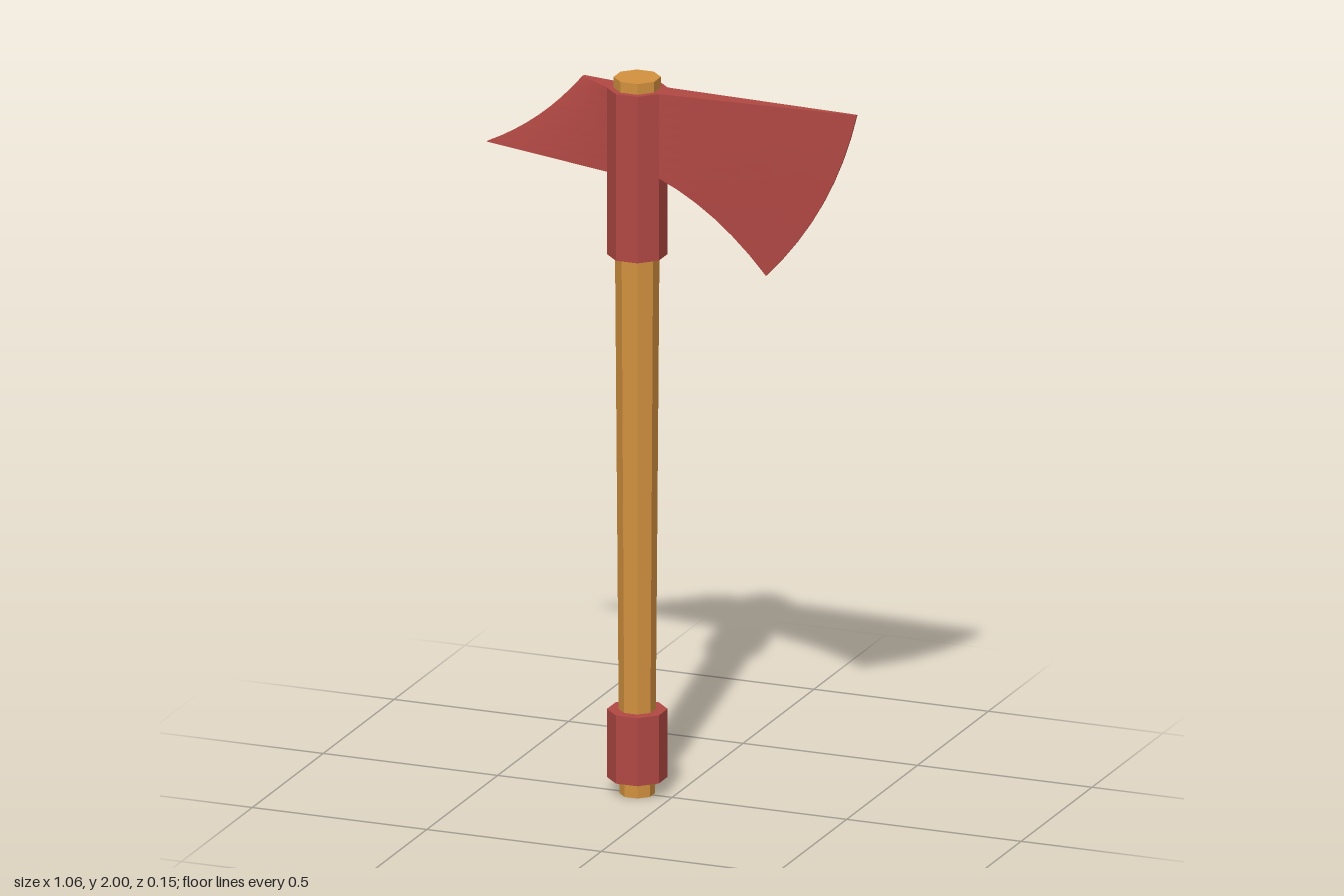
import * as THREE from 'three';

const AXIS_X = -0.1; // handle centre line
const V2 = (x, y) => new THREE.Vector2(x, y);
const curve = (a, c, b) => new THREE.QuadraticBezierCurve(V2(...a), V2(...c), V2(...b));
const line = (a, b) => new THREE.LineCurve(V2(...a), V2(...b));

// Upright octagonal prism, flats facing the axes; sizes are centre-to-flat
function octagon(name, material, bottom, top, y0, y1) {
  const k = 1 / Math.cos(Math.PI / 8);
  const geo = new THREE.CylinderGeometry(top * k, bottom * k, y1 - y0, 8, 1, false, Math.PI / 8);
  const mesh = new THREE.Mesh(geo, material);
  mesh.position.set(AXIS_X, (y0 + y1) / 2, 0);
  mesh.name = name;
  return mesh;
}

// Wedge spanning four border curves, thick at the root and thin at the edge
function wedge(name, material, { lower, upper, root, edge }, rootHalf, edgeHalf, side) {
  const NU = 6, NV = 8;
  const point = (i, j) => {
    const back = j > NV;
    const u = i / NU, v = (back ? 2 * NV + 1 - j : j) / NV;
    const p = V2(0, 0);
    const add = (q, w) => p.addScaledVector(q, w);
    add(lower.getPoint(u), 1 - v); add(upper.getPoint(u), v);
    add(root.getPoint(v), 1 - u); add(edge.getPoint(v), u);
    add(root.getPoint(0), -(1 - u) * (1 - v)); add(root.getPoint(1), -(1 - u) * v);
    add(edge.getPoint(0), -u * (1 - v)); add(edge.getPoint(1), -u * v);
    const half = THREE.MathUtils.lerp(rootHalf, edgeHalf, u) * side;
    return [p.x, p.y, back ? -half : half];
  };
  const pos = [];
  const quad = (a, b, c, d) => pos.push(...a, ...b, ...c, ...a, ...c, ...d);
  const ring = 2 * NV + 2;
  // Front, top, back and underside
  for (let i = 0; i < NU; i++) {
    for (let j = 0; j < ring; j++) {
      const n = (j + 1) % ring;
      quad(point(i, j), point(i + 1, j), point(i + 1, n), point(i, n));
    }
  }
  // Narrow face along the cutting edge
  for (let j = 0; j < NV; j++) {
    quad(point(NU, j), point(NU, ring - 1 - j), point(NU, ring - 2 - j), point(NU, j + 1));
  }
  const geo = new THREE.BufferGeometry();
  geo.setAttribute('position', new THREE.Float32BufferAttribute(pos, 3));
  geo.computeVertexNormals();
  const mesh = new THREE.Mesh(geo, material);
  mesh.name = name;
  return mesh;
}

export function createModel() {
  const wood = new THREE.MeshStandardMaterial({ color: 0xd4923f, flatShading: true });
  wood.name = 'wood';
  const red = new THREE.MeshStandardMaterial({ color: 0xb24844, flatShading: true });
  red.name = 'red metal';

  const axe = new THREE.Group();
  axe.name = 'axe';

  // Tapered handle with two collars
  axe.add(octagon('handle', wood, 0.044, 0.058, 0, 2));
  axe.add(octagon('headCollar', red, 0.0745, 0.0745, 1.505, 1.97));
  axe.add(octagon('buttCollar', red, 0.0745, 0.0745, 0.045, 0.235));

  // Broad blade with a hooked lower corner
  axe.add(wedge('blade', red, {
    root: line([-0.027, 1.735], [-0.027, 1.97]),
    upper: line([-0.027, 1.97], [0.53, 1.97]),
    lower: curve([-0.027, 1.735], [0.135, 1.66], [0.27, 1.49]),
    edge: curve([0.27, 1.49], [0.465, 1.69], [0.53, 1.97]),
  }, 0.031, 0.003, 1));

  // Pointed rear spike with a hollow upper edge
  axe.add(wedge('rearSpike', red, {
    root: line([-0.173, 1.735], [-0.173, 1.97]),
    upper: line([-0.173, 1.97], [-0.255, 1.985]),
    lower: line([-0.173, 1.735], [-0.53, 1.768]),
    edge: curve([-0.53, 1.768], [-0.375, 1.84], [-0.255, 1.985]),
  }, 0.031, 0.005, -1));

  return axe;
}
